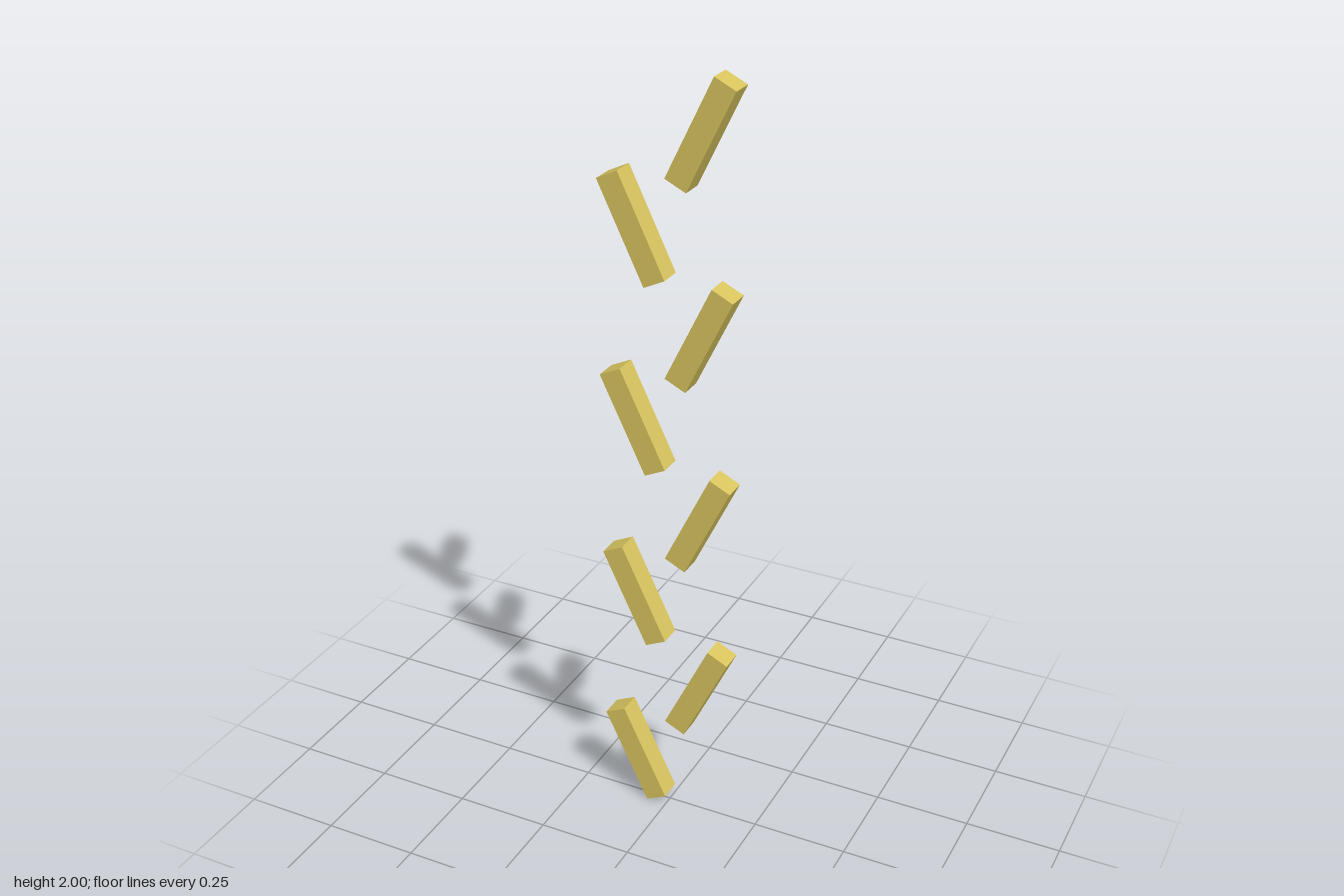
import * as THREE from 'three';

export function createModel() {
  const group = new THREE.Group();
  group.name = 'alternatingBars';
  const straw = new THREE.MeshStandardMaterial({ color: 0xd8c45e });
  straw.name = 'straw yellow';

  const width = 0.06, length = 0.275, tilt = 0.45, count = 8;
  const bar = new THREE.BoxGeometry(width, length, width);

  // Extents of one tilted bar, used to stack the bars from y = 0 to y = 2
  const tall = length * Math.cos(tilt) + width * Math.sin(tilt);
  const wide = length * Math.sin(tilt) + width * Math.cos(tilt);
  const step = (2 - tall) / (count - 1);

  // Bars alternate right and left of the centre line, leaning outwards
  for (let i = 0; i < count; i++) {
    const side = i % 2 ? 1 : -1;
    const mesh = new THREE.Mesh(bar, straw);
    mesh.name = (side > 0 ? 'leftBar' : 'rightBar') + (Math.floor(i / 2) + 1);
    mesh.position.set(side * wide / 2, tall / 2 + i * step, 0);
    mesh.rotation.z = -side * tilt;
    group.add(mesh);
  }
  return group;
}
